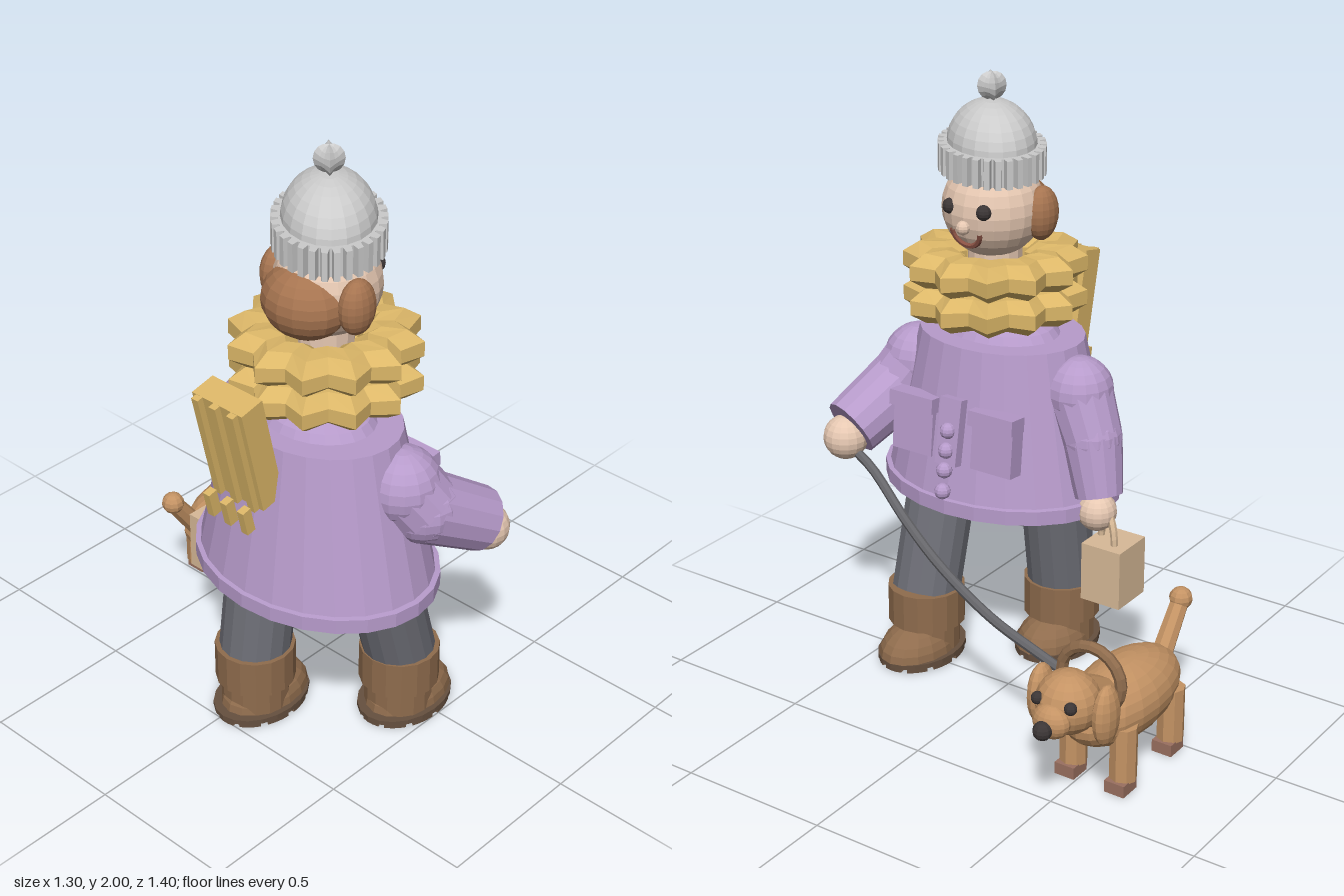
import * as THREE from 'three';

const V = (x, y, z) => new THREE.Vector3(x, y, z);
const COL = {
  coat: 0xb79bcb, scarf: 0xdcb768, skin: 0xe6c8b2, hair: 0xa67450, trousers: 0x6c6d75, boot: 0x8f6c4d,
  sole: 0x66503f, dog: 0xc49364, paw: 0x9a7060, leash: 0x66666a, dark: 0x3c3636, mouth: 0x8a5244, bag: 0xd8ba98, hat: 0xcccccc,
};
const mats = {};
const mat = (c) => (mats[c] ??= new THREE.MeshStandardMaterial({ color: COL[c], flatShading: true, side: THREE.DoubleSide }));

function add(parent, name, geo, color, pos = [0, 0, 0], rot = [0, 0, 0]) {
  const m = new THREE.Mesh(geo, mat(color));
  m.name = name;
  m.position.set(...pos);
  m.rotation.set(...rot);
  parent.add(m);
  return m;
}
const ball = (p, name, color, pos, r, w = 16, h = 12) =>
  add(p, name, new THREE.SphereGeometry(1, w, h).scale(...(Array.isArray(r) ? r : [r, r, r])), color, pos);
const box = (p, name, color, pos, size, rot) => add(p, name, new THREE.BoxGeometry(...size), color, pos, rot);
// Tapered cylinder running from point a to point b
function limb(p, name, color, a, b, ra, rb, seg = 14) {
  const A = V(...a), B = V(...b), d = B.clone().sub(A);
  const m = add(p, name, new THREE.CylinderGeometry(rb, ra, d.length(), seg), color);
  m.position.copy(A).lerp(B, 0.5);
  m.quaternion.setFromUnitVectors(V(0, 1, 0), d.normalize());
  return m;
}

function makeHead() {
  const g = new THREE.Group();
  g.name = 'head';
  limb(g, 'neck', 'skin', [-0.215, 1.13, 0.2], [-0.215, 1.45, 0.2], 0.088, 0.088);
  ball(g, 'face', 'skin', [-0.205, 1.57, 0.2], 0.163, 20, 14);
  ball(g, 'backHair', 'hair', [-0.3, 1.545, 0.2], [0.12, 0.115, 0.14]);
  for (const s of [-1, 1]) {
    ball(g, 'sideHair', 'hair', [-0.25, 1.56, 0.2 + s * 0.155], [0.064, 0.088, 0.048]);
    ball(g, 'eye', 'dark', [-0.063, 1.593, 0.2 + s * 0.064], 0.025, 10, 8);
  }
  ball(g, 'nose', 'skin', [-0.042, 1.538, 0.2], 0.023, 10, 8);
  add(g, 'mouth', new THREE.TorusGeometry(0.052, 0.009, 6, 12, Math.PI).rotateZ(Math.PI).rotateY(Math.PI / 2),
    'mouth', [-0.057, 1.522, 0.2], [0, 0, -0.28]);
  return g;
}

function makeHat() {
  const g = new THREE.Group();
  g.name = 'hat';
  g.position.set(-0.2, 0, 0.2);
  g.rotation.y = Math.PI / 4;
  g.scale.set(1.15, 1, 0.83);
  const dome = add(g, 'hatDome', new THREE.SphereGeometry(0.17, 20, 8, 0, Math.PI * 2, 0, Math.PI / 2), 'hat', [0, 1.77, 0]);
  dome.scale.y = 0.84;
  // Ribbed brim as a toothed ring
  const teeth = 30, s = new THREE.Shape(), pts = [];
  for (let i = 0; i < teeth; i++) {
    [[0, 0.178], [0.15, 0.203], [0.65, 0.203], [0.8, 0.178]].forEach(([f, r]) => {
      const a = ((i + f) / teeth) * Math.PI * 2;
      pts.push(new THREE.Vector2(Math.cos(a) * r, Math.sin(a) * r));
    });
  }
  s.setFromPoints(pts);
  s.holes.push(new THREE.Path().absarc(0, 0, 0.15, 0, Math.PI * 2, true));
  add(g, 'hatBrim', new THREE.ExtrudeGeometry(s, { depth: 0.09, bevelEnabled: false, curveSegments: 12 })
    .rotateX(-Math.PI / 2), 'hat', [0, 1.69, 0]);
  // Lumpy pompom
  const pom = new THREE.SphereGeometry(1, 12, 8), p = pom.attributes.position;
  for (let i = 0; i < p.count; i++) {
    const v = V(p.getX(i), p.getY(i), p.getZ(i));
    v.multiplyScalar(0.045 + 0.011 * Math.cos(4 * Math.atan2(v.z, v.x)) * Math.hypot(v.x, v.z));
    p.setXYZ(i, v.x, v.y * 0.95, v.z);
  }
  add(g, 'pompom', pom, 'hat', [0, 1.957, 0]);
  return g;
}

function makeScarf() {
  const g = new THREE.Group();
  g.name = 'scarf';
  for (const y of [1.267, 1.383]) {
    const prof = [];
    for (let i = 0; i <= 8; i++) {
      const a = ((i + 0.5) / 8) * Math.PI * 2;
      prof.push(new THREE.Vector2(0.205 + Math.cos(a) * 0.098, Math.sin(a) * 0.063));
    }
    const geo = new THREE.LatheGeometry(prof, 24), p = geo.attributes.position;
    // Pull in every other section for the twelve folds
    for (let i = 0; i < p.count; i++) {
      const k = Math.floor(i / prof.length) % 2 ? 0.83 : 1;
      p.setXYZ(i, p.getX(i) * k, p.getY(i) * (k < 1 ? 0.9 : 1), p.getZ(i) * k);
    }
    add(g, 'scarfRoll', geo, 'scarf', [-0.215, y, 0.2]);
  }
  return g;
}

function makeCoat() {
  const g = new THREE.Group();
  g.name = 'coat';
  const prof = [[0, 0.6], [0.418, 0.6], [0.418, 0.648], [0.4, 0.65], [0.287, 1.14], [0.2, 1.14], [0.18, 1.165], [0.11, 1.19], [0, 1.195]];
  const geo = new THREE.LatheGeometry(prof.map((q) => new THREE.Vector2(...q)), 24).scale(0.79, 1, 1);
  add(g, 'coatBody', geo, 'coat', [-0.255, 0, 0.2]);
  // Pockets with flaps, button strip and buttons
  for (const s of [-1, 1]) {
    box(g, 'pocket', 'coat', [0.0, 0.855, 0.2 + s * 0.155], [0.06, 0.18, 0.155], [0, 0, 0.1]);
    box(g, 'pocketFlap', 'coat', [0.005, 0.94, 0.2 + s * 0.155], [0.07, 0.05, 0.17], [0, 0, 0.1]);
  }
  box(g, 'buttonStrip', 'coat', [0.02, 0.875, 0.2], [0.06, 0.22, 0.08], [0, 0, 0.18]);
  [0.885, 0.82, 0.755, 0.685].forEach((y, i) => ball(g, 'button', 'coat', [0.05 + i * 0.011, y, 0.2], 0.027, 10, 8));
  return g;
}

function makeArms() {
  const g = new THREE.Group();
  g.name = 'arms';
  // Right arm reaches forward, left arm hangs down
  const arms = [
    { s: [-0.195, 0.99, 0.49], e: [-0.15, 0.91, 0.535], w: [0.045, 0.795, 0.6], h: [0.06, 0.765, 0.61], r: [0.122, 0.115, 0.102], hr: 0.075 },
    { s: [-0.235, 1.0, -0.11], e: [-0.215, 0.86, -0.175], w: [-0.185, 0.68, -0.225], h: [-0.19, 0.62, -0.215], r: [0.115, 0.1, 0.078], hr: 0.065 },
  ];
  for (const a of arms) {
    ball(g, 'shoulder', 'coat', a.s, a.r[0]);
    limb(g, 'upperArm', 'coat', a.s, a.e, a.r[0] * 0.97, a.r[1]);
    ball(g, 'elbow', 'coat', a.e, a.r[1]);
    limb(g, 'forearm', 'coat', a.e, a.w, a.r[1], a.r[2]);
    ball(g, 'hand', 'skin', a.h, a.hr);
  }
  return g;
}

function makeLeg(z, top, ankle, sole) {
  const g = new THREE.Group();
  g.name = 'leg';
  limb(g, 'trouserLeg', 'trousers', [top, 0.66, z], [ankle, 0.23, z], 0.116, 0.116, 16);
  limb(g, 'bootCuff', 'boot', [ankle, 0.12, z], [ankle, 0.25, z], 0.13, 0.13, 16);
  limb(g, 'bootAnkle', 'boot', [ankle, 0.03, z], [ankle, 0.13, z], 0.112, 0.112, 16);
  add(g, 'bootFoot', new THREE.SphereGeometry(1, 16, 6, 0, Math.PI * 2, 0, Math.PI / 2).scale(0.165, 0.1, 0.115),
    'boot', [sole + 0.015, 0.03, z]);
  add(g, 'bootSole', new THREE.CylinderGeometry(1, 1, 0.016, 20).scale(0.178, 1, 0.132), 'sole', [sole, 0.022, z]);
  // Radial tread blocks
  const tread = new THREE.Group();
  tread.name = 'tread';
  tread.position.set(sole, 0, z);
  tread.scale.set(1.32, 1, 1);
  for (let i = 0; i < 10; i++) {
    const a = (i / 10) * Math.PI * 2 + 0.1;
    add(tread, 'treadBlock', new THREE.CylinderGeometry(0.13, 0.13, 0.015, 3, 1, false, a, 0.48), 'sole', [0, 0.0075, 0]);
  }
  g.add(tread);
  return g;
}

function makeBackSled() {
  const g = new THREE.Group();
  g.name = 'backSled';
  g.position.set(-0.555, 1.155, 0.167);
  g.rotation.z = 0.22;
  box(g, 'board', 'scarf', [0.005, 0, 0], [0.085, 0.37, 0.2]);
  for (const z of [-0.07, 0, 0.07]) {
    box(g, 'slat', 'scarf', [-0.048, 0, z], [0.02, 0.37, 0.026]);
    box(g, 'peg', 'scarf', [-0.085, -0.2, z], [0.032, 0.085, 0.026]);
  }
  return g;
}

function makeBag() {
  const g = new THREE.Group();
  g.name = 'handBag';
  box(g, 'bagBody', 'bag', [-0.205, 0.425, -0.27], [0.155, 0.2, 0.145]);
  add(g, 'bagHandle', new THREE.TorusGeometry(0.045, 0.012, 6, 12, Math.PI).scale(1, 2, 1), 'bag', [-0.195, 0.52, -0.255], [0, Math.PI / 3, 0]);
  return g;
}

function makeDog() {
  const g = new THREE.Group();
  g.name = 'dog';
  g.position.z = -0.548;
  ball(g, 'body', 'dog', [0.175, 0.233, 0], [0.27, 0.125, 0.134], 20, 14);
  limb(g, 'dogNeck', 'dog', [0.32, 0.27, 0], [0.45, 0.35, 0], 0.085, 0.08);
  ball(g, 'dogHead', 'dog', [0.483, 0.358, 0], 0.1);
  ball(g, 'muzzle', 'dog', [0.572, 0.335, 0], [0.045, 0.055, 0.062]);
  ball(g, 'dogNose', 'dark', [0.62, 0.325, 0], 0.03, 10, 8);
  for (const s of [-1, 1]) {
    ball(g, 'ear', 'dog', [0.455, 0.335, s * 0.115], [0.058, 0.1, 0.036], 12, 10);
    ball(g, 'dogEye', 'dark', [0.56, 0.388, s * 0.058], 0.02, 10, 8);
    for (const x of [0.03, 0.31]) {
      limb(g, 'dogLeg', 'dog', [x, 0.035, s * 0.09], [x, 0.22, s * 0.09], 0.044, 0.044, 8);
      box(g, 'paw', 'paw', [x + 0.015, 0.02, s * 0.09], [0.075, 0.04, 0.07]);
    }
  }
  limb(g, 'tail', 'dog', [-0.04, 0.24, 0], [-0.165, 0.41, 0], 0.036, 0.03, 8);
  ball(g, 'tailTip', 'dog', [-0.167, 0.415, 0], 0.038, 10, 8);
  add(g, 'collar', new THREE.TorusGeometry(0.105, 0.019, 8, 20), 'boot', [0.357, 0.375, 0], [0, Math.PI / 2, 0]);
  return g;
}

export function createModel() {
  const model = new THREE.Group();
  model.name = 'walkerWithDog';
  model.add(makeHead(), makeHat(), makeScarf(), makeCoat(), makeArms(), makeBackSled(), makeBag(), makeDog());
  model.add(makeLeg(0.37, -0.17, -0.05, -0.02), makeLeg(0.027, -0.3, -0.36, -0.335));
  ball(model, 'hips', 'trousers', [-0.2, 0.64, 0.2], [0.19, 0.095, 0.15]);
  const path = new THREE.CatmullRomCurve3([V(0.06, 0.74, 0.6), V(0.08, 0.69, 0.49), V(0.15, 0.58, 0.3), V(0.215, 0.5, 0.12),
    V(0.287, 0.42, -0.13), V(0.335, 0.38, -0.35), V(0.357, 0.365, -0.45)]);
  add(model, 'leash', new THREE.TubeGeometry(path, 24, 0.016, 8), 'leash');
  return model;
}
